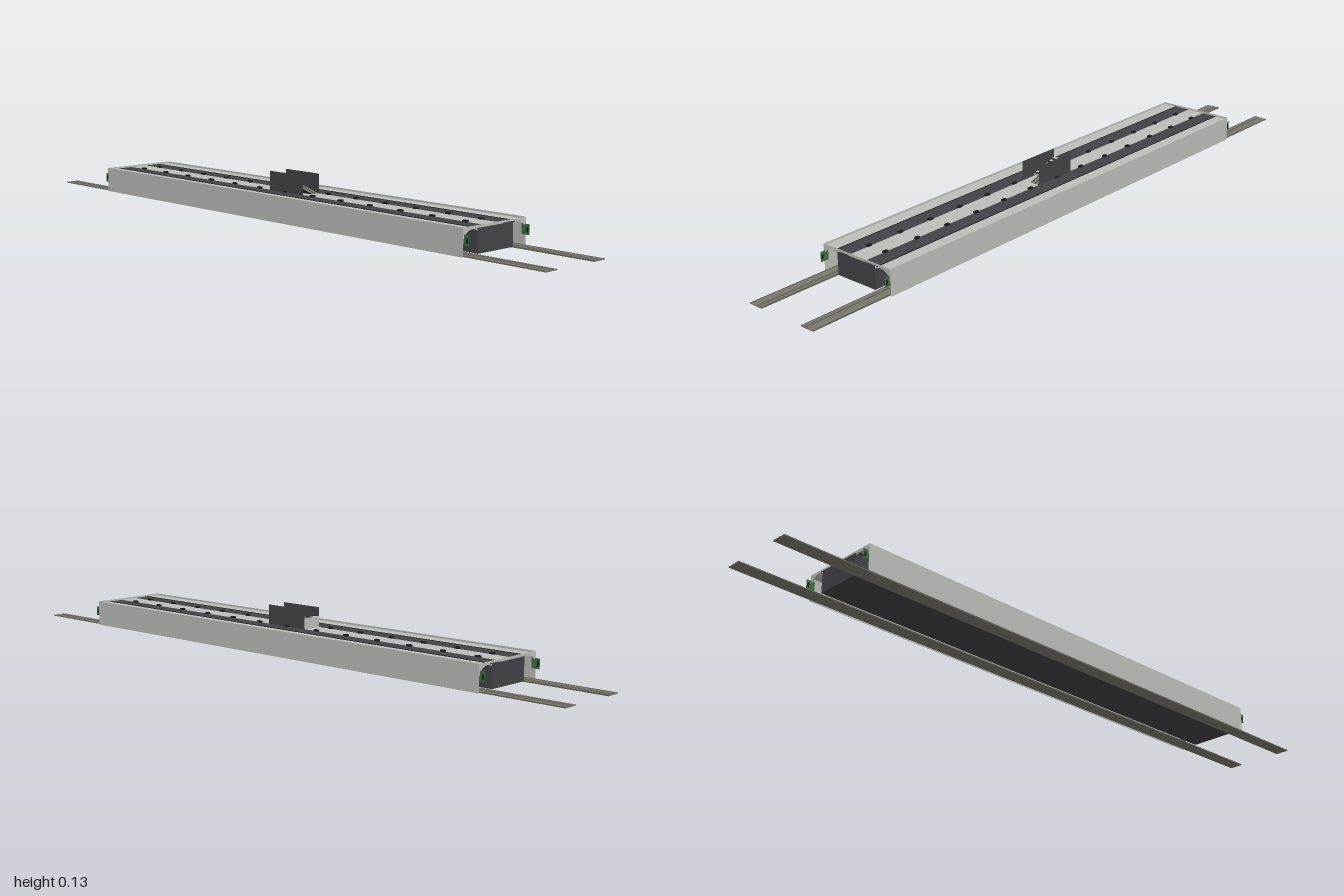
import * as THREE from 'three';

const mat = (name, color, side = THREE.FrontSide) => {
  const m = new THREE.MeshStandardMaterial({ color, side });
  m.name = name;
  return m;
};

export function createModel() {
  const root = new THREE.Group();
  root.name = 'platformWithRails';
  const light = mat('lightGrey', 0xbcbdb8);
  const dark = mat('charcoal', 0x434247);
  const olive = mat('oliveGrey', 0x7a796e);
  const oliveDark = mat('darkOlive', 0x55544c);
  const black = mat('black', 0x1d1d1f);
  const green = mat('green', 0x3f6b3f);

  // Box given by its limits on each axis
  const box = (name, m, x0, x1, y0, y1, z0, z1, parent = root) => {
    const mesh = new THREE.Mesh(new THREE.BoxGeometry(Math.abs(x1 - x0), y1 - y0, Math.abs(z1 - z0)), m);
    mesh.position.set((x0 + x1) / 2, (y0 + y1) / 2, (z0 + z1) / 2);
    mesh.name = name;
    parent.add(mesh);
    return mesh;
  };

  const L = 0.75;      // half length of the body
  const W = 0.122;     // half width of the body
  const FLOOR = 0.07;  // deck height
  const TOP = 0.077;   // rim height

  // Central body and deck
  box('centralBody', dark, -0.068, 0.068, 0.005, FLOOR, -L - 0.002, L + 0.002);
  box('centreWalkway', light, -0.029, 0.029, FLOOR, 0.0715, -L, L);

  for (const s of [-1, 1]) {
    box('sideWall', light, s * (W - 0.001), s * W, 0.002, TOP, -L, L);
    box('deckEdge', light, s * 0.078, s * (W - 0.001), FLOOR - 0.001, 0.0715, -L, L);
    box('darkDeckStrip', dark, s * 0.029, s * 0.078, FLOOR - 0.001, 0.0718, -L, L);
    box('deckSeam', black, s * 0.0765, s * 0.0785, FLOOR, 0.073, -L, L);

    // Deck studs
    for (let k = -6; k <= 6; k++) {
      box('deckStud', black, s * 0.026, s * 0.035, FLOOR, 0.0765, k * 0.113 - 0.007, k * 0.113 + 0.007);
    }

    // Rails with ribs
    box('railBase', olive, s * 0.072, s * 0.116, 0.0025, 0.0045, -1, 1);
    for (const x of [0.079, 0.097]) {
      box('railRib', olive, s * (x - 0.003), s * (x + 0.003), 0.004, 0.006, -1, 1);
    }
    for (const x of [0.0735, 0.0875, 0.1145]) {
      box('railGroove', oliveDark, s * (x - 0.0015), s * (x + 0.0015), 0.004, 0.0052, -1, 1);
    }

    // Connector tabs at the corners
    for (const e of [-1, 1]) {
      box('connectorTab', green, s * 0.117, s * 0.1185, 0.031, 0.059, e * 0.74, e * 0.765);
      box('connectorPad', black, s * 0.1165, s * 0.119, 0.038, 0.051, e * 0.757, e * 0.763);
    }
  }

  // Arched end plates
  const end = new THREE.Shape();
  const a = Math.acos(-0.02 / 0.034);
  end.moveTo(-W, TOP);
  end.lineTo(-W, 0.035);
  end.absarc(-0.088, 0.035, 0.034, Math.PI, Math.PI - a, true);
  end.lineTo(0.068, 0.035 + 0.034 * Math.sin(a));
  end.absarc(0.088, 0.035, 0.034, a, 0, true);
  end.lineTo(W, TOP);
  end.closePath();
  const endGeo = new THREE.ExtrudeGeometry(end, { depth: 0.0015, bevelEnabled: false, curveSegments: 16 });
  for (const z of [-L, L - 0.0015]) {
    const plate = new THREE.Mesh(endGeo, light);
    plate.name = 'archedEndPlate';
    plate.position.z = z;
    root.add(plate);
  }

  // Stair entrance in the middle
  const stair = new THREE.Group();
  stair.name = 'stairEntrance';
  root.add(stair);
  for (const x of [-0.032, 0.03]) {
    box('stairSideWall', dark, x - 0.0006, x + 0.0006, FLOOR, 0.128, -0.065, 0.075, stair);
  }
  box('stairBackPlate', light, -0.031, 0.029, FLOOR, 0.102, -0.067, -0.065, stair);
  const N = 6;
  for (let i = 0; i < N; i++) {
    const y = 0.077 + (i + 1) * 0.025 / N;
    const z = 0.025 - i * 0.015;
    box('stairStep', light, -0.031, -0.002, FLOOR, y, z - 0.015, z, stair);
    box('stairNosing', black, -0.031, -0.002, y - 0.0018, y + 0.0004, z - 0.004, z + 0.0006, stair);
  }

  // Ramp beside the steps
  const ramp = new THREE.Shape();
  ramp.moveTo(-0.075, FLOOR);
  ramp.lineTo(0.065, FLOOR);
  ramp.lineTo(0.065, 0.102);
  ramp.lineTo(0.035, 0.102);
  ramp.lineTo(-0.075, 0.0725);
  const rampGeo = (w) => new THREE.ExtrudeGeometry(ramp, { depth: w, bevelEnabled: false }).rotateY(Math.PI / 2);
  const addRamp = (name, m, x, w, lift) => {
    const mesh = new THREE.Mesh(rampGeo(w), m);
    mesh.name = name;
    mesh.position.set(x, lift, 0);
    stair.add(mesh);
  };
  addRamp('ramp', olive, 0, 0.029, 0);
  for (const x of [-0.001, 0.013, 0.026]) addRamp('rampEdge', black, x, 0.002, 0.0006);

  return root;
}
